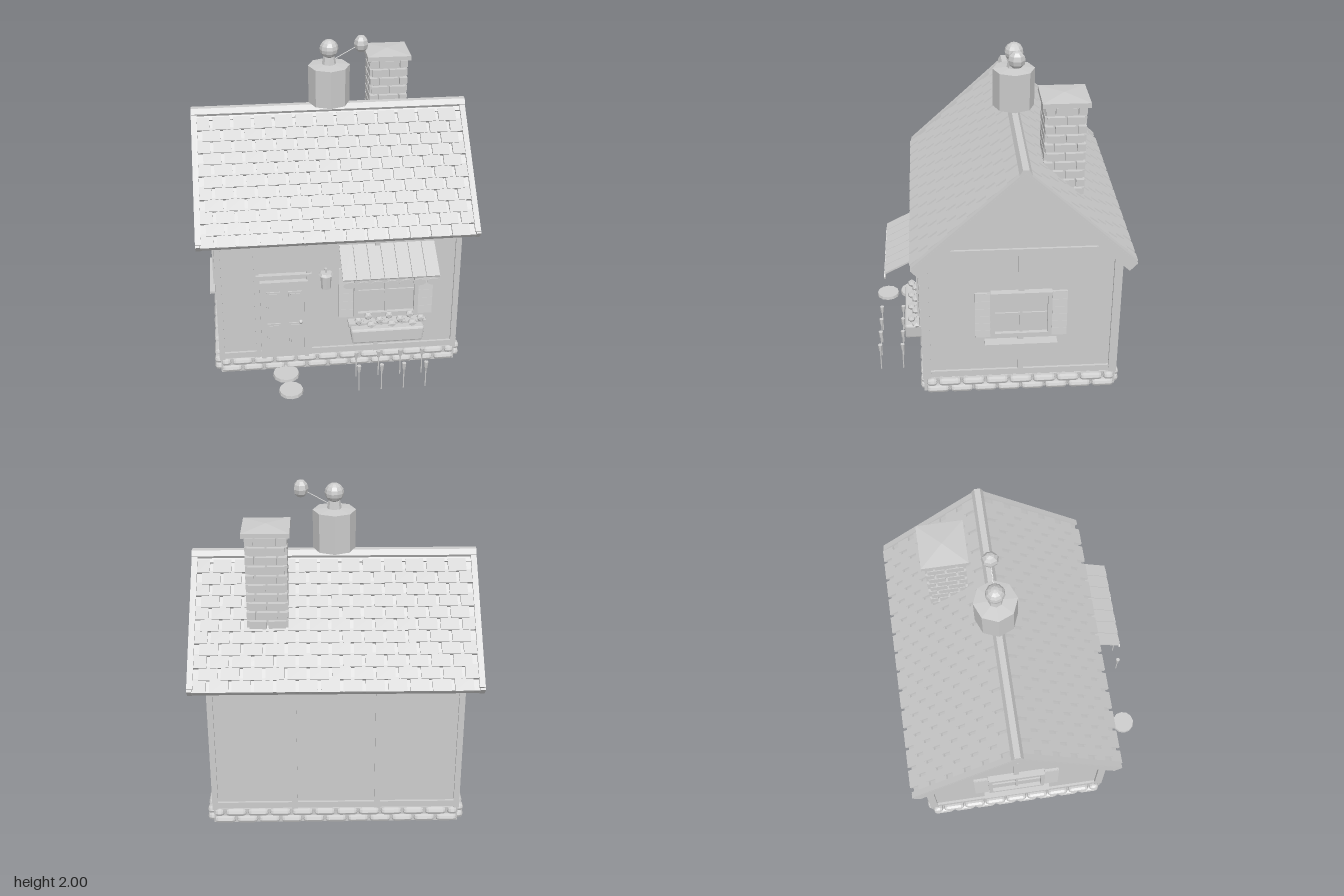
import * as THREE from 'three';
import { RoundedBoxGeometry } from 'three/addons/geometries/RoundedBoxGeometry.js';

const mat = new THREE.MeshStandardMaterial({ color: 0xcccccc, flatShading: true });
const MID = -0.125;            // z of the middle of the house
const FRONT = 0.455, BACK = -0.705, SIDE = 0.735;
const UP = new THREE.Vector3(0, 1, 0);

function add(parent, name, geo, x = 0, y = 0, z = 0) {
  const m = new THREE.Mesh(geo, mat);
  m.name = name;
  m.position.set(x, y, z);
  parent.add(m);
  return m;
}
const box = (p, name, w, h, d, x, y, z) => add(p, name, new THREE.BoxGeometry(w, h, d), x, y, z);
function group(parent, name, x = 0, y = 0, z = 0, ry = 0) {
  const g = new THREE.Group();
  g.name = name;
  g.position.set(x, y, z);
  g.rotation.y = ry;
  parent.add(g);
  return g;
}
function rod(parent, name, a, b, r) {
  const A = new THREE.Vector3(...a), B = new THREE.Vector3(...b), d = B.clone().sub(A);
  const m = add(parent, name, new THREE.CylinderGeometry(r, r, d.length(), 6));
  m.position.copy(A).add(B).multiplyScalar(0.5);
  m.quaternion.setFromUnitVectors(UP, d.normalize());
  return m;
}

// Cross-framed window with louvred shutters, facing +z, origin at its middle on the wall
function windowUnit(parent, name, w, h, x, y, z, ry) {
  const g = group(parent, name, x, y, z, ry);
  box(g, 'glass', w - 0.02, h - 0.02, 0.016, 0, 0, 0.008);
  for (const s of [-1, 1]) {
    box(g, 'frameStile', 0.025, h, 0.04, s * (w / 2 - 0.0125), 0, 0.02);
    box(g, 'frameRail', w, 0.025, 0.04, 0, s * (h / 2 - 0.0125), 0.02);
    const sh = group(g, 'shutter', s * (w / 2 + 0.047), -0.008, 0);
    box(sh, 'shutterBoard', 0.09, h, 0.014, 0, 0, 0.012);
    for (let i = 0; i < 6; i++) {
      const slat = box(sh, 'slat', 0.09, h / 6 - 0.006, 0.01, 0, (i - 2.5) * h / 6, 0.022);
      slat.rotation.x = -0.12;
    }
  }
  box(g, 'mullion', 0.016, h, 0.026, 0, 0, 0.013);
  box(g, 'crossbar', w, 0.016, 0.026, 0, 0, 0.013);
  box(g, 'sill', w + 0.07, 0.016, 0.065, 0, -h / 2 - 0.045, 0.0325);
}

// Two courses of rounded stones along local x
function stoneCourse(parent, len, x, z, ry) {
  const g = group(parent, 'stoneCourse', x, 0, z, ry);
  const n = Math.round(len / 0.14), pitch = len / n;
  for (let row = 0; row < 2; row++) {
    for (let i = 0; i < n + row; i++) {
      const from = Math.max(0, i - row / 2) * pitch, to = Math.min(n, i + 1 - row / 2) * pitch;
      const stone = new RoundedBoxGeometry(to - from - 0.006, 0.046, 0.06, 1, 0.022);
      add(g, 'stone', stone, (from + to - len) / 2, 0.031 + row * 0.049, 0);
    }
  }
}

// One roof slope: local +z runs down from the ridge
function roofSlope(parent, name, ry) {
  const turn = group(parent, name, 0, 1.553, MID - 0.006, ry);
  const g = group(turn, 'slope');
  g.rotation.x = 0.745;
  box(g, 'roofSlab', 1.68, 0.047, 0.882, 0, -0.0425, 0.441);
  for (const s of [-1, 1]) {
    box(g, 'bargeBoard', 0.028, 0.066, 0.885, s * 0.843, -0.033, 0.4425);
    box(g, 'bargeTrim', 0.034, 0.016, 0.872, s * 0.838, 0.002, 0.436);
  }
  const pitch = 0.128, n = 13, step = 0.0755;
  for (let r = 0; r < 11; r++) {
    for (let i = 0; i < n; i++) {
      const x = (i - (n - 1) / 2) * pitch + (r % 2 ? 0.032 : -0.032);
      const x0 = Math.max(x - 0.054, -0.825), x1 = Math.min(x + 0.054, 0.825);
      const t = box(g, 'shingle', x1 - x0, 0.018, 0.088, (x0 + x1) / 2, -0.009, 0.092 + r * step);
      t.rotation.x = -0.08;
    }
  }
}

export function createModel() {
  const house = new THREE.Group();
  house.name = 'cottage';

  // Walls with gables, extruded along x
  const section = new THREE.Shape([[-FRONT, 0.09], [-FRONT, 0.94], [-MID, 1.48], [-BACK, 0.94], [-BACK, 0.09]]
    .map(p => new THREE.Vector2(...p)));
  const wallGeo = new THREE.ExtrudeGeometry(section, { depth: 2 * SIDE, bevelEnabled: false });
  wallGeo.rotateY(Math.PI / 2).translate(-SIDE, 0, 0);
  add(house, 'walls', wallGeo);

  // Foundation
  const base = group(house, 'foundation');
  box(base, 'footing', 1.49, 0.095, 1.18, 0, 0.0525, MID);
  stoneCourse(base, 1.49, 0, 0.455, 0);
  stoneCourse(base, 1.49, 0, -0.71, 0);
  for (const s of [-1, 1]) stoneCourse(base, 1.16, s * 0.754, -0.128, Math.PI / 2);

  // Timber framing
  const frame = group(house, 'timberFrame');
  for (const s of [-1, 1]) {
    for (const z of [FRONT - 0.01, BACK + 0.01]) box(frame, 'cornerPost', 0.035, 0.84, 0.05, s * 0.735, 0.52, z);
    box(frame, 'middlePost', 0.03, 0.86, 0.035, s * SIDE, 0.54, MID);
    box(frame, 'sideTopBeam', 0.03, 0.045, 1.1, s * SIDE, 0.985, MID);
    box(frame, 'sideBottomBeam', 0.03, 0.04, 1.15, s * SIDE, 0.13, MID);
    box(frame, 'backPost', 0.035, 0.83, 0.03, s * 0.25, 0.52, BACK);
  }
  for (const x of [-0.505, -0.185, 0.235]) box(frame, 'frontPost', 0.03, 0.83, 0.03, x, 0.52, FRONT);
  for (const z of [FRONT, BACK]) {
    box(frame, 'bottomBeam', 1.47, 0.04, 0.03, 0, 0.13, z);
    box(frame, 'topBeam', 1.47, 0.035, 0.03, 0, 0.915, z);
  }

  // Roof
  roofSlope(house, 'frontRoof', 0);
  roofSlope(house, 'backRoof', Math.PI);
  const ridge = add(house, 'ridgeCap', new THREE.CylinderGeometry(0.036, 0.036, 1.71, 6), 0, 1.541, MID - 0.006);
  ridge.rotation.z = Math.PI / 2;

  // Brick chimney with a low hipped cap
  const chimney = group(house, 'chimney', 0.395, 0, -0.387);
  box(chimney, 'core', 0.19, 0.6, 0.19, 0, 1.5, 0);
  for (let r = 0; r < 10; r++) {
    const y = 1.755 - r * 0.057;
    const bricks = r % 2 ? [[-0.056, 0.1], [0.056, 0.1]] : [[-0.093, 0.044], [0, 0.118], [0.093, 0.044]];
    for (let k = 0; k < 4; k++) {
      const face = group(chimney, 'brickFace', 0, y, 0, k * Math.PI / 2);
      for (const [x, w] of bricks) box(face, 'brick', w, 0.045, 0.04, x, 0, 0.1);
    }
  }
  box(chimney, 'cap', 0.275, 0.028, 0.275, 0, 1.8, 0);
  const capTop = add(chimney, 'capTop', new THREE.ConeGeometry(0.194, 0.014, 4), 0, 1.821, 0);
  capTop.rotation.y = Math.PI / 4;

  // Ridge turret with ball and side finial
  const turret = group(house, 'turret', 0, 0, MID - 0.006);
  add(turret, 'drum', new THREE.CylinderGeometry(0.129, 0.127, 0.24, 8), 0, 1.7, 0);
  add(turret, 'drumTop', new THREE.ConeGeometry(0.129, 0.015, 8), 0, 1.8275, 0);
  add(turret, 'neck', new THREE.CylinderGeometry(0.035, 0.045, 0.05, 8), 0, 1.85, 0);
  add(turret, 'ball', new THREE.SphereGeometry(0.058, 10, 8), 0, 1.925, 0);
  rod(turret, 'finialRod', [0.03, 1.855, 0], [0.19, 1.945, 0], 0.003);
  add(turret, 'finial', new THREE.SphereGeometry(0.05, 7, 6), 0.197, 1.95, 0).scale.set(0.9, 1.08, 1.05);

  // Door
  const door = group(house, 'door', -0.338, 0, FRONT);
  box(door, 'doorLeaf', 0.25, 0.54, 0.02, 0, 0.375, 0.01);
  for (const s of [-1, 1]) {
    box(door, 'jamb', 0.026, 0.55, 0.036, s * 0.135, 0.38, 0.014);
    for (const [y, h] of [[0.505, 0.17], [0.28, 0.16]]) {
      box(door, 'panel', 0.084, h, 0.012, s * 0.067, y, 0.022);
      box(door, 'panelField', 0.06, h - 0.025, 0.012, s * 0.067, y, 0.027);
    }
  }
  box(door, 'lintel', 0.296, 0.028, 0.036, 0, 0.648, 0.014);
  box(door, 'ledge', 0.34, 0.016, 0.035, 0, 0.703, 0.014);
  add(door, 'knob', new THREE.SphereGeometry(0.014, 8, 6), 0.1, 0.37, 0.034);

  // Lantern
  const lamp = group(house, 'lantern', -0.08, 0, FRONT + 0.02);
  add(lamp, 'lampGlass', new THREE.CylinderGeometry(0.034, 0.03, 0.085, 8), 0, 0.645, 0);
  add(lamp, 'lampRoof', new THREE.CylinderGeometry(0.036, 0.046, 0.014, 8), 0, 0.705, 0);
  rod(lamp, 'hanger', [0, 0.737, 0], [0, 0.685, 0], 0.008);
  rod(lamp, 'bracket', [0, 0.728, 0.005], [0, 0.728, -0.03], 0.008);

  // Windows
  windowUnit(house, 'frontWindow', 0.4, 0.35, 0.292, 0.56, FRONT, 0);
  windowUnit(house, 'leftWindow', 0.365, 0.31, SIDE, 0.565, MID, Math.PI / 2);
  windowUnit(house, 'rightWindow', 0.365, 0.31, -SIDE, 0.565, MID, -Math.PI / 2);

  // Awning with a scalloped edge
  const awning = group(house, 'awning', 0, 0.88, FRONT);
  for (let i = 0; i < 7; i++) {
    const x = 0.042 + i * 0.0835;
    const strip = box(awning, 'awningStrip', 0.08, 0.01, 0.25, x, -0.056, 0.108);
    strip.rotation.x = 0.475;
    const lobe = add(awning, 'scallop', new THREE.CylinderGeometry(0.04, 0.04, 0.008, 10), x, -0.145, 0.222);
    lobe.rotation.x = Math.PI / 2;
    lobe.scale.z = 0.55;
  }

  // Flower box
  const planter = group(house, 'flowerBox', 0.295, 0.287, FRONT + 0.062);
  const trough = new RoundedBoxGeometry(0.46, 0.1, 0.115, 1, 0.012);
  const p = trough.attributes.position;
  for (let i = 0; i < p.count; i++) if (p.getY(i) < 0) p.setX(i, p.getX(i) * 0.96);
  add(planter, 'trough', trough);
  for (let i = 0; i < 7; i++) {
    const x = (i - 3) * 0.065 + 0.015, y = 0.093 + (i % 2) * 0.014, z = i % 2 ? -0.012 : 0.015;
    add(planter, 'blossom', new THREE.IcosahedronGeometry(0.026, 0), x, y, z);
    add(planter, 'leaves', new THREE.IcosahedronGeometry(0.03, 0), x + 0.015, 0.06, -z).scale.y = 0.75;
  }

  // Tulips in front of the house
  for (const z of [0.735, 0.595]) for (const x of [0.097, 0.237, 0.375, 0.512]) {
    const t = group(house, 'tulip', x, 0, z);
    rod(t, 'stem', [0, 0.005, 0], [0, 0.155, 0], 0.004);
    add(t, 'bloom', new THREE.CylinderGeometry(0.014, 0.009, 0.045, 6), 0, 0.168, 0);
  }

  // Stepping stones
  for (const [x, z, r] of [[-0.32, 0.71, 0.076], [-0.34, 0.54, 0.083]])
    add(house, 'steppingStone', new THREE.CylinderGeometry(r * 0.96, r, 0.02, 12), x, 0.018, z);

  return house;
}
